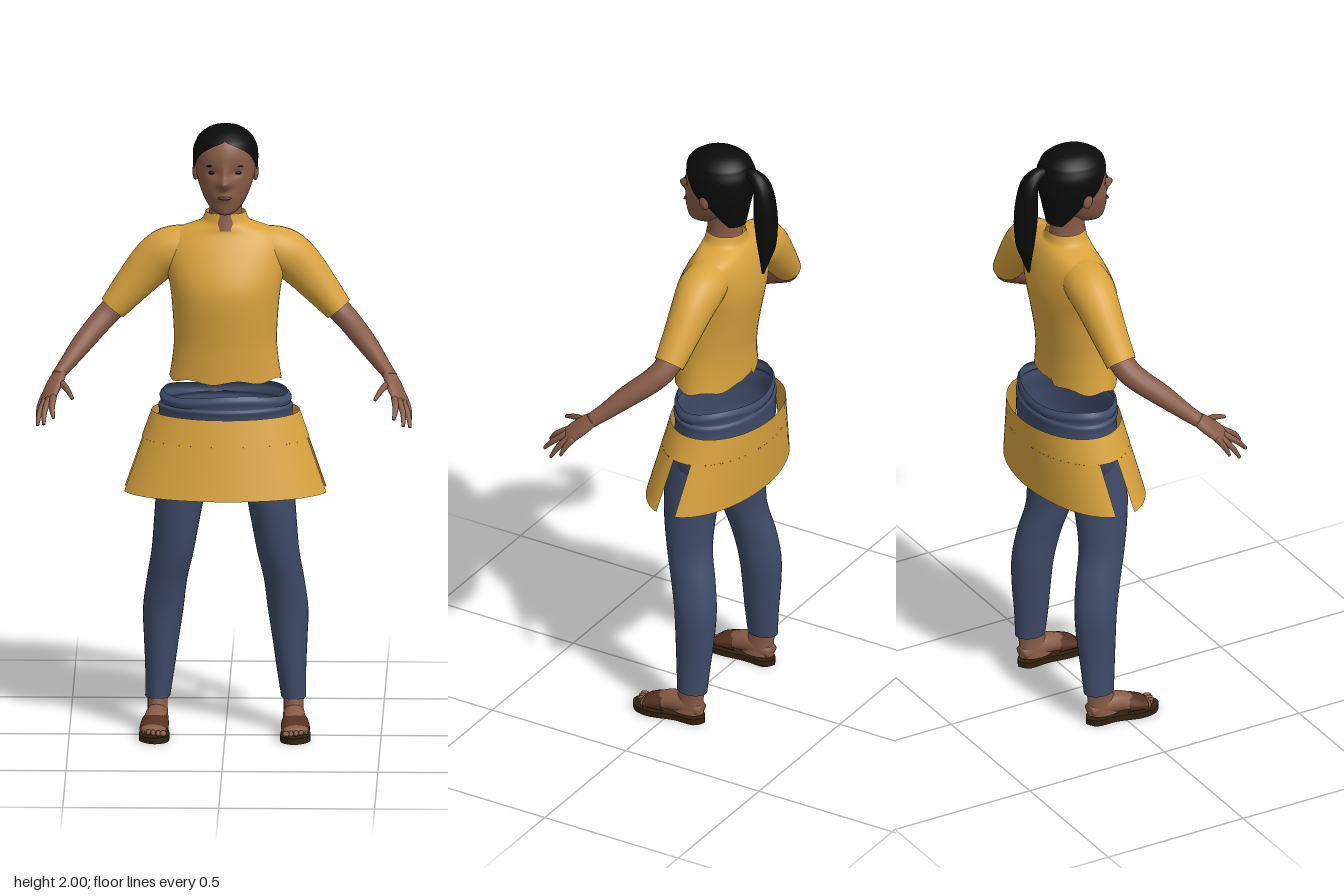
import * as THREE from 'three';
import { mergeVertices } from 'three/addons/utils/BufferGeometryUtils.js';

const mat = (name, color, side = THREE.DoubleSide) => {
  const m = new THREE.MeshStandardMaterial({ color, side });
  m.name = name;
  return m;
};

// Catmull-Rom through rows of numbers, `sub` steps per span
function refine(rows, sub) {
  if (sub < 2) return rows;
  const out = [];
  const at = i => rows[Math.max(0, Math.min(rows.length - 1, i))];
  for (let i = 0; i < rows.length - 1; i++) {
    for (let k = 0; k < sub; k++) {
      const t = k / sub;
      out.push(rows[i].map((b, c) => {
        const a = at(i - 1)[c], d = at(i + 1)[c], e = at(i + 2)[c];
        return b + 0.5 * t * (d - a + t * (2 * a - 5 * b + 4 * d - e + t * (3 * (b - d) + e - a)));
      }));
    }
  }
  out.push(rows[rows.length - 1]);
  return out;
}

// Skin a list of equally long rings
function skin(rings) {
  const n = rings[0].length, index = [];
  for (let i = 0; i < rings.length - 1; i++) {
    for (let j = 0; j < n - 1; j++) {
      const a = i * n + j, b = a + n;
      index.push(a, a + 1, b + 1, a, b + 1, b);
    }
  }
  let g = new THREE.BufferGeometry();
  g.setAttribute('position', new THREE.Float32BufferAttribute(rings.flat(2), 3));
  g.setIndex(index);
  g = mergeVertices(g, 1e-5);
  g.computeVertexNormals();
  return g;
}

// Level elliptical sections, bottom to top: [y, centreX, halfWidth, zFront, zBack, start, end]
function loft(rows, { sub = 4, seg = 40, warp = null } = {}) {
  return skin(refine(rows, sub).map(([y, cx, w, zf, zb, a0 = 0, a1 = Math.PI * 2], i) =>
    Array.from({ length: seg + 1 }, (_, j) => {
      const a = a0 + (a1 - a0) * j / seg;
      const p = [cx + w * Math.sin(a), y, (zf + zb) / 2 + (zf - zb) / 2 * Math.cos(a)];
      return warp ? warp(p, a, i) : p;
    })));
}

// Oval tube along a path: [x, y, z, radius along hint, radius across]
function sweep(rows, { hint = [0, 0, 1], sub = 4, seg = 16, closed = true } = {}) {
  const pts = refine(rows, sub), h = new THREE.Vector3(...hint);
  const pos = pts.map(p => new THREE.Vector3(p[0], p[1], p[2]));
  const rings = pts.map((p, i) => {
    const t = pos[Math.min(i + 1, pos.length - 1)].clone().sub(pos[Math.max(i - 1, 0)]).normalize();
    const u = h.clone().addScaledVector(t, -h.dot(t)).normalize();
    const v = t.clone().cross(u);
    return Array.from({ length: seg + 1 }, (_, j) => {
      const a = j / seg * Math.PI * 2;
      return pos[i].clone().addScaledVector(u, p[3] * Math.cos(a)).addScaledVector(v, p[4] * Math.sin(a)).toArray();
    });
  });
  if (closed) {
    rings.unshift(rings[0].map(() => pos[0].toArray()));
    rings.push(rings[0].map(() => pos[pos.length - 1].toArray()));
  }
  return skin(rings);
}

export function createModel() {
  const model = new THREE.Group();
  model.name = 'woman';
  const skinMat = mat('skin', 0x875b47), shirtMat = mat('ochre cloth', 0xd9a33e);
  const denim = mat('denim', 0x3f4b69), hairMat = mat('black hair', 0x0c0b0b);
  const soleMat = mat('dark sole', 0x32210f), strapMat = mat('strap leather', 0x56301f);
  const lipMat = mat('lips', 0x5e3029);
  const add = (name, geo, m) => {
    const mesh = new THREE.Mesh(geo, m);
    mesh.name = name;
    model.add(mesh);
    return mesh;
  };
  const blob = (name, m, p, r) => {
    const mesh = add(name, new THREE.SphereGeometry(1, 16, 10), m);
    mesh.position.set(...p);
    mesh.scale.set(...r);
    return mesh;
  };

  // Head, with nose, lips and eye sockets pressed into the face
  const bump = (x, y, cx, cy, sx, sy) => Math.exp(-(((x - cx) / sx) ** 2) - ((y - cy) / sy) ** 2);
  add('head', loft([
    [1.72, 0, 0.002, 0.02, 0.01], [1.727, 0, 0.026, 0.052, -0.02], [1.745, 0, 0.05, 0.06, -0.06],
    [1.78, 0, 0.072, 0.064, -0.105], [1.83, 0, 0.09, 0.065, -0.14], [1.87, 0, 0.096, 0.062, -0.155],
    [1.92, 0, 0.097, 0.06, -0.16], [1.96, 0, 0.08, 0.042, -0.145], [1.983, 0, 0.05, 0.0, -0.11],
    [1.992, 0, 0.001, -0.05, -0.051],
  ], { seg: 64, sub: 5, warp: ([x, y, z]) => {
    if (z < -0.02) return [x, y, z];
    const d = 0.03 * bump(x, y, 0, 1.832, 0.018, 0.016) + 0.015 * bump(x, y, 0, 1.86, 0.011, 0.03)
      + 0.01 * bump(x, y, 0, 1.787, 0.026, 0.013) - 0.009 * bump(Math.abs(x), y, 0.038, 1.865, 0.018, 0.012);
    return [x, y, z + d];
  } }), skinMat);
  add('neck', loft([[1.66, 0, 0.06, 0.0, -0.135], [1.72, 0, 0.052, -0.012, -0.125], [1.79, 0, 0.055, -0.01, -0.125]]), skinMat);
  blob('mouth', lipMat, [0, 1.786, 0.072], [0.022, 0.006, 0.005]);
  for (const s of [-1, 1]) {
    blob('eye', hairMat, [s * 0.039, 1.864, 0.043], [0.014, 0.006, 0.005]);
    blob('eyebrow', hairMat, [s * 0.041, 1.888, 0.047], [0.018, 0.003, 0.004]).rotation.z = -s * 0.12;
    blob('ear', skinMat, [s * 0.096, 1.848, -0.05], [0.01, 0.03, 0.018]);
  }

  // Hair cap open around the face, and ponytail
  const hairRow = (y, w, zf, zb, a) => [y, 0, w, zf, zb, a, Math.PI * 2 - a];
  add('hair', loft([
    hairRow(1.745, 0.062, 0.03, -0.142, 2.3), hairRow(1.78, 0.08, 0.05, -0.148, 2.05), hairRow(1.83, 0.097, 0.07, -0.158, 1.75),
    hairRow(1.87, 0.104, 0.068, -0.168, 1.25), hairRow(1.92, 0.104, 0.066, -0.17, 0.85), hairRow(1.95, 0.094, 0.056, -0.16, 0.4),
    hairRow(1.967, 0.083, 0.042, -0.15, 0), hairRow(1.99, 0.05, 0.004, -0.115, 0), hairRow(2.0, 0.001, -0.05, -0.051, 0),
  ]), hairMat);
  add('ponytail', sweep([
    [0, 1.925, -0.14, 0.022, 0.022], [0, 1.935, -0.175, 0.022, 0.022], [0, 1.9, -0.21, 0.036, 0.028], [0, 1.8, -0.222, 0.042, 0.038],
    [0, 1.7, -0.226, 0.036, 0.03], [0, 1.64, -0.22, 0.022, 0.016], [0, 1.585, -0.212, 0.005, 0.004],
  ], { hint: [1, 0, 0] }), hairMat);

  // Shirt body, with an uneven hem that is torn at the back
  add('shirt', loft([
    [1.175, 0, 0.18, 0.074, -0.15], [1.23, 0, 0.171, 0.075, -0.15], [1.3, 0, 0.165, 0.077, -0.155], [1.4, 0, 0.17, 0.084, -0.172],
    [1.47, 0, 0.178, 0.082, -0.185], [1.53, 0, 0.19, 0.062, -0.19], [1.6, 0, 0.195, 0.027, -0.182], [1.645, 0, 0.165, 0.002, -0.168],
    [1.668, 0, 0.11, -0.004, -0.155], [1.682, 0, 0.078, -0.008, -0.143], [1.712, 0, 0.064, -0.012, -0.137],
  ], { seg: 48, warp: ([x, y, z], a, i) => {
    if (i === 0) y += 0.006 * Math.sin(a * 7) + (a > 3.05 && a < 3.4 ? 0.035 : 0);
    return [x, y, z];
  } }), shirtMat);

  // Skirt: a waist band, then front and back panels parted by side slits
  const skirt = (name, y0, y1, a0, a1) => add(name, loft([y0, y1].map(y => {
    const t = (1.055 - y) / 0.255;
    return [y, 0, 0.238 + 0.092 * t, 0.08 + 0.058 * t, -0.243 + 0.02 * t, a0, a1];
  }), { sub: 1, seg: 48 }), shirtMat);
  const q = Math.PI / 2, gap = 0.19;
  skirt('skirtBand', 0.97, 1.055, 0, 4 * q);
  skirt('skirtFront', 0.8, 0.97, -q + gap, q - gap);
  skirt('skirtBack', 0.8, 0.97, q + gap, 3 * q - gap);

  // Trouser hips, open at the creased waist
  add('trouserHips', loft([
    [0.83, 0, 0.03, -0.01, -0.07], [0.85, 0, 0.15, 0.04, -0.13], [0.9, 0, 0.215, 0.066, -0.175], [0.98, 0, 0.222, 0.068, -0.205],
    [1.05, 0, 0.214, 0.066, -0.21], [1.075, 0, 0.216, 0.072, -0.212], [1.085, 0, 0.208, 0.066, -0.205],
    [1.105, 0, 0.212, 0.07, -0.208], [1.122, 0, 0.2, 0.06, -0.2],
  ], { warp: ([x, y, z], a, i) => [x, y + (i > 24 ? 0.007 * Math.sin(a * 3 + 1) : 0), z] }), denim);

  for (const s of [-1, 1]) {
    const side = rows => rows.map(([x, ...r]) => [s * x, ...r]);

    // Sleeve and forearm
    add('sleeve', sweep(side([
      [0.11, 1.592, -0.085, 0.07, 0.07], [0.18, 1.575, -0.088, 0.076, 0.078], [0.235, 1.535, -0.09, 0.068, 0.073],
      [0.3, 1.462, -0.086, 0.058, 0.06], [0.362, 1.388, -0.079, 0.05, 0.046],
    ]), { seg: 24, closed: false }), shirtMat);
    add('forearm', sweep(side([
      [0.3, 1.46, -0.085, 0.042, 0.042], [0.362, 1.388, -0.077, 0.042, 0.039], [0.405, 1.345, -0.05, 0.04, 0.037],
      [0.46, 1.29, 0.015, 0.036, 0.033], [0.505, 1.24, 0.07, 0.028, 0.025], [0.535, 1.208, 0.108, 0.024, 0.02],
    ])), skinMat);

    // Hand
    const across = [-s * 0.033, 0.01, 0.04];
    add('palm', sweep(side([
      [0.525, 1.22, 0.095, 0.023, 0.018], [0.543, 1.19, 0.13, 0.034, 0.018], [0.562, 1.155, 0.168, 0.036, 0.014], [0.566, 1.145, 0.178, 0.03, 0.01],
    ]), { hint: across }), skinMat);
    const fingers = [
      [[0.577, 1.152, 0.148], [0.592, 1.12, 0.17], [0.598, 1.088, 0.185]], [[0.57, 1.15, 0.165], [0.591, 1.108, 0.2], [0.597, 1.07, 0.222]],
      [[0.56, 1.152, 0.18], [0.575, 1.118, 0.225], [0.576, 1.083, 0.258]], [[0.547, 1.158, 0.186], [0.551, 1.132, 0.228], [0.545, 1.103, 0.253]],
      [[0.53, 1.195, 0.125], [0.507, 1.186, 0.18], [0.485, 1.163, 0.232]],
    ];
    fingers.forEach((f, i) => add(i < 4 ? 'finger' : 'thumb',
      sweep(side(f.map((p, k) => [...p, [0.012, 0.01, 0.006][k], [0.011, 0.009, 0.005][k]])), { hint: across, sub: 3, seg: 10 }), skinMat));

    // Trouser leg
    add('trouserLeg', loft([
      [0.11, 0.218, 0.04, -0.028, -0.13], [0.2, 0.211, 0.047, -0.022, -0.137], [0.3, 0.206, 0.056, -0.017, -0.147],
      [0.4, 0.2, 0.065, -0.01, -0.15], [0.5, 0.188, 0.065, 0.01, -0.138], [0.6, 0.169, 0.068, 0.036, -0.116],
      [0.7, 0.156, 0.073, 0.053, -0.118], [0.8, 0.143, 0.079, 0.061, -0.13], [0.93, 0.125, 0.085, 0.06, -0.15],
    ].map(([y, x, ...r]) => [y, s * x, ...r]), { seg: 28 }), denim);

    // Foot and toes
    add('ankle', loft([[0.03, 0.036, 0.0, -0.118], [0.08, 0.032, -0.025, -0.118], [0.14, 0.034, -0.038, -0.12]]
      .map(([y, ...r]) => [y, s * 0.218, ...r]), { seg: 20 }), skinMat);
    add('foot', sweep(side([
      [0.217, 0.045, -0.115, 0.024, 0.022], [0.218, 0.055, -0.07, 0.034, 0.036], [0.222, 0.056, -0.01, 0.036, 0.034],
      [0.226, 0.042, 0.045, 0.041, 0.023], [0.229, 0.031, 0.09, 0.04, 0.013],
    ]), { hint: [1, 0, 0] }), skinMat);
    for (let i = 0; i < 5; i++) {
      blob('toe', skinMat, [s * (0.197 + i * 0.016), 0.029, 0.108 - i * i * 0.0022], [i ? 0.008 : 0.011, 0.009, 0.018]);
    }

    // Sandal
    add('sandalStrap', sweep(side([
      [0.224, 0.046, 0.012, 0.044, 0.033], [0.226, 0.041, 0.045, 0.046, 0.027], [0.228, 0.034, 0.078, 0.046, 0.019],
    ]), { hint: [1, 0, 0], seg: 20, closed: false }), strapMat);
    const outline = new THREE.Shape();
    const edge = [[0.217, -0.125], [0.25, -0.1], [0.254, -0.03], [0.275, 0.05], [0.266, 0.105], [0.225, 0.135],
      [0.185, 0.11], [0.178, 0.05], [0.187, -0.03], [0.185, -0.1]].map(([x, z]) => new THREE.Vector2(s * x, z));
    outline.setFromPoints(new THREE.SplineCurve([...edge, edge[0]]).getPoints(40).slice(0, -1));
    const sole = new THREE.ExtrudeGeometry(outline, { depth: 0.02, bevelEnabled: false });
    sole.rotateX(Math.PI / 2).translate(0, 0.02, 0);
    add('sandalSole', sole, soleMat);
  }
  return model;
}
